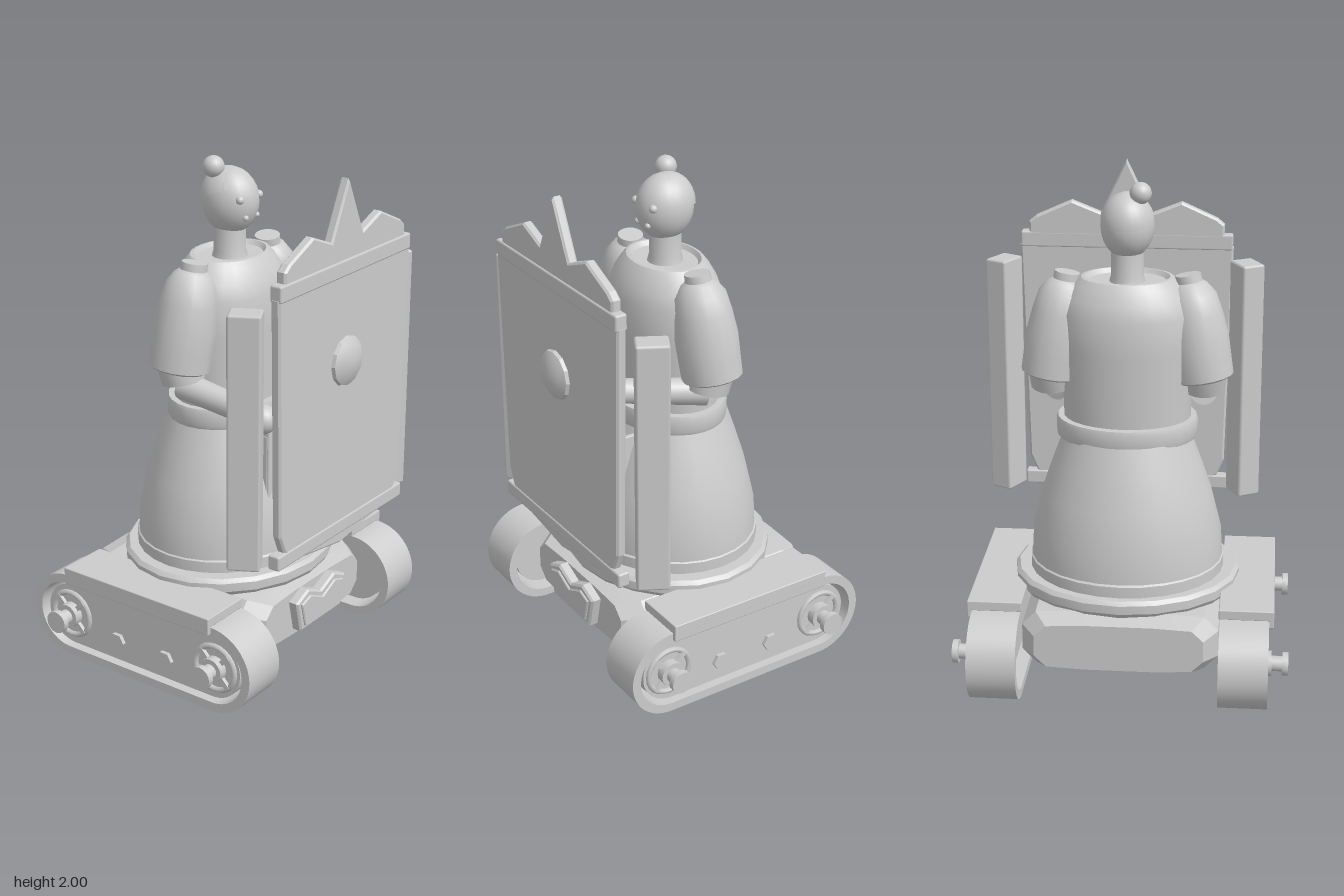
import * as THREE from 'three';
import { toCreasedNormals } from 'three/addons/utils/BufferGeometryUtils.js';
import { RoundedBoxGeometry } from 'three/addons/geometries/RoundedBoxGeometry.js';
import { ConvexGeometry } from 'three/addons/geometries/ConvexGeometry.js';

const grey = new THREE.MeshStandardMaterial({ color: 0xcccccc });
grey.name = 'plain grey';
const V = (x, y, z) => new THREE.Vector3(x, y, z);

export function createModel() {
  const model = new THREE.Group();
  model.name = 'trackedShieldBearer';

  const add = (name, geo, x = 0, y = 0, z = 0, parent = model) => {
    const mesh = new THREE.Mesh(geo, grey);
    mesh.name = name;
    mesh.position.set(x, y, z);
    parent.add(mesh);
    return mesh;
  };
  const box = (name, w, h, d, x, y, z, r = 0.008) =>
    add(name, new RoundedBoxGeometry(w, h, d, 1, r), x, y, z);
  // Profile of [radius, height] turned about y, then squashed to an ellipse
  const spin = (name, pts, sides = 24, sx = 1, sz = 1, z = 0) => {
    const geo = new THREE.LatheGeometry(pts.map(p => new THREE.Vector2(p[0], p[1])), sides);
    geo.scale(sx, 1, sz);
    return add(name, toCreasedNormals(geo, 0.5), 0, 0, z);
  };
  const shapeOf = pts => new THREE.Shape(pts.map(p => new THREE.Vector2(p[0], p[1])));
  // Flat plate with a small bevel; its back lies at z
  const plate = (name, pts, depth, z, b = 0.008) => {
    const geo = new THREE.ExtrudeGeometry(shapeOf(pts), {
      depth: depth - 2 * b, bevelEnabled: true, bevelSize: b, bevelThickness: b,
      bevelOffset: -b, bevelSegments: 1,
    });
    return add(name, geo, 0, 0, z + b);
  };
  // Turned part running from a to b, profile as [radius, fraction]
  const limb = (name, a, b, pts, sides = 16) => {
    const len = a.distanceTo(b);
    const geo = new THREE.LatheGeometry(pts.map(p => new THREE.Vector2(p[0], p[1] * len)), sides);
    const mesh = add(name, toCreasedNormals(geo, 0.6), a.x, a.y, a.z);
    mesh.quaternion.setFromUnitVectors(V(0, 1, 0), b.clone().sub(a).normalize());
  };

  // ---- Hull between the tracks ----
  const hull = [];
  for (const [z, w, h] of [[0.415, 0.32, 0.095], [0.33, 0.385, 0.12], [-0.36, 0.385, 0.12], [-0.44, 0.33, 0.095]])
    for (const s of [-1, 1]) for (const t of [-1, 1])
      hull.push(V(s * w, 0.25 + t * h * 0.45, z), V(s * w * 0.86, 0.25 + t * h * 0.92, z), V(s * w * 0.4, 0.25 + t * h, z));
  add('hull', toCreasedNormals(new ConvexGeometry(hull), 0.3));
  plate('hullEmblem', [[-0.14, 0.18], [0.14, 0.18], [0.17, 0.31], [0.09, 0.345], [0, 0.305], [-0.09, 0.345], [-0.17, 0.31]], 0.06, 0.395);
  plate('hullEmblemInset', [[-0.12, 0.2], [0.12, 0.2], [0.145, 0.3], [0.085, 0.32], [0, 0.28], [-0.085, 0.32], [-0.145, 0.3]], 0.02, 0.443, 0.004);

  // ---- Tracks ----
  const cy = 0.178;
  const stadium = (P, r, a, b) => {
    const p = new P();
    p.absarc(-a, cy, r, Math.PI / 2, Math.PI * 1.5, false);
    p.absarc(-b, cy, r, -Math.PI / 2, Math.PI / 2, false);
    p.closePath();
    return p;
  };
  const sideExtrude = (name, shape, x0, x1) => {
    const geo = new THREE.ExtrudeGeometry(shape, { depth: x1 - x0, bevelEnabled: false, curveSegments: 14 });
    geo.rotateY(Math.PI / 2);
    return add(name, toCreasedNormals(geo, 0.5), x0);
  };
  const disc = (name, r, x, w, y, z, sides = 16) => {
    const geo = new THREE.CylinderGeometry(r, r, w, sides);
    geo.rotateZ(Math.PI / 2);
    return add(name, toCreasedNormals(geo, 0.5), x, y, z);
  };
  for (const s of [-1, 1]) {
    const span = (a, b) => (s > 0 ? [a, b] : [-b, -a]);
    const belt = stadium(THREE.Shape, 0.178, 0.347, -0.372);
    belt.holes.push(stadium(THREE.Path, 0.142, 0.347, -0.372));
    sideExtrude('trackBelt', belt, ...span(0.39, 0.582));
    sideExtrude('trackSidePlate', stadium(THREE.Shape, 0.13, 0.335, -0.36), ...span(0.44, 0.56));
    box('fender', 0.215, 0.04, 0.715, s * 0.493, 0.378, -0.012, 0.004);
    box('fenderLip', 0.02, 0.07, 0.715, s * 0.59, 0.363, -0.012, 0.004);
    for (const z of [0.35, -0.37]) {
      const rim = add('wheelRim', new THREE.TorusGeometry(0.092, 0.012, 6, 24), s * 0.562, cy, z);
      rim.rotation.y = Math.PI / 2;
      for (let i = 0; i < 4; i++) {
        const a = Math.PI / 4 + i * Math.PI / 2;
        const spoke = add('wheelSpoke', new THREE.BoxGeometry(0.02, 0.06, 0.02), s * 0.565, cy + 0.065 * Math.cos(a), z + 0.065 * Math.sin(a));
        spoke.rotation.x = a;
      }
      disc('axleCollar', 0.05, s * 0.575, 0.04, cy, z);
      disc('axle', 0.03, s * 0.605, 0.09, cy, z);
      disc('axleCap', 0.046, s * 0.648, 0.024, cy, z);
    }
    for (const z of [0.11, -0.13]) disc('bolt', 0.036, s * 0.565, 0.022, 0.133, z, 6);
  }

  // ---- Skirt, belt and torso ----
  spin('basePlate', [[0, 0.36], [0.44, 0.36], [0.455, 0.38], [0.455, 0.415], [0.44, 0.43], [0, 0.43]], 20, 1, 0.89);
  spin('skirtHem', [[0.39, 0.42], [0.39, 0.475], [0.375, 0.485], [0, 0.485]], 28, 1, 0.9, -0.01);
  spin('skirt', [[0.385, 0.48], [0.378, 0.6], [0.34, 0.75], [0.295, 0.88], [0.25, 1.0]], 28, 1, 0.89, -0.01);
  spin('belt', [[0.24, 0.985], [0.275, 0.985], [0.28, 1.0], [0.28, 1.05], [0.275, 1.065], [0.22, 1.065]], 28, 1, 0.8);
  spin('torso', [[0.25, 1.05], [0.255, 1.2], [0.262, 1.35], [0.265, 1.49], [0.24, 1.55], [0.205, 1.6], [0.18, 1.625], [0.165, 1.627], [0.15, 1.61], [0, 1.605]], 28, 1, 0.76);
  box('apronPlate', 0.235, 0.37, 0.035, -0.01, 0.805, 0.265);
  for (const s of [-1, 1]) box('apronBracket', 0.02, 0.28, 0.1, -0.01 + s * 0.11, 0.82, 0.225, 0.004);

  // ---- Head ----
  spin('neck', [[0.075, 1.59], [0.063, 1.63], [0.063, 1.75]], 16);
  const ball = (name, r, x, y, z, sy = 1, sz = 1) =>
    add(name, new THREE.SphereGeometry(r, 20, 14), x, y, z).scale.set(1, sy, sz);
  ball('head', 0.104, 0, 1.825, 0.003, 1.24, 1.1);
  const hair = add('hairCap', new THREE.SphereGeometry(0.107, 20, 8, 0, Math.PI * 2, 0, 1.25), 0, 1.825, 0);
  hair.scale.set(1, 1.23, 1.09);
  hair.rotation.x = -0.35;
  ball('hairBun', 0.042, -0.053, 1.958, -0.037);
  for (const s of [-1, 1]) {
    ball('eye', 0.016, s * 0.06, 1.848, 0.092);
    ball('earring', 0.012, s * 0.035, 1.775, 0.1);
  }

  // ---- Arms ----
  const arms = [
    { s: 1, elbow: V(0.285, 1.165, 0.0), hand: V(0.135, 1.21, 0.385) },
    { s: -1, elbow: V(-0.3, 1.165, 0.0), hand: V(-0.27, 1.1, 0.355) },
  ];
  for (const { s, elbow, hand } of arms) {
    limb('sleeve', V(s * 0.3, 1.225, -0.018), V(s * 0.232, 1.635, 0.01),
      [[0, 0], [0.105, 0], [0.118, 0.02], [0.12, 0.2], [0.122, 0.4], [0.112, 0.62], [0.098, 0.8], [0.07, 0.9], [0.052, 0.93], [0.05, 1], [0, 1]]);
    limb('cuff', V(s * 0.3, 1.18, 0.005), V(s * 0.3, 1.25, -0.01), [[0, 0], [0.082, 0], [0.09, 1], [0, 1]]);
    limb('forearm', elbow, hand, [[0, 0], [0.054, 0], [0.046, 1], [0, 1]]);
    ball('hand', 0.057, hand.x, hand.y, hand.z);
  }

  // ---- Shield ----
  const cx = 0.043;
  const mirror = half => [...half, ...half.slice().reverse().filter(p => p[0] > 0).map(p => [-p[0], p[1]])]
    .map(([x, y]) => [x + cx, y]);
  plate('shieldPanel', mirror([[0, 0.515], [0.3, 0.56], [0.385, 0.62], [0.415, 0.69], [0.438, 1.62]]), 0.04, 0.472);
  plate('shieldCrest', mirror([[0.4, 1.62], [0.4, 1.715], [0.37, 1.74], [0.225, 1.805], [0.105, 1.757], [0, 1.975]]), 0.042, 0.468);
  box('shieldTopBand', 0.87, 0.065, 0.05, cx, 1.642, 0.492);
  box('shieldBottomBand', 0.865, 0.06, 0.05, cx, 0.59, 0.492);
  const boss = new THREE.LatheGeometry([[0.1, 0], [0.095, 0.018], [0.065, 0.037], [0, 0.046]].map(p => new THREE.Vector2(...p)), 12);
  boss.rotateX(Math.PI / 2);
  add('shieldBoss', toCreasedNormals(boss, 0.5), cx, 1.275, 0.508);
  for (const s of [-1, 1])
    box('shieldSidePost', 0.098, 1.0, 0.125, cx + s * 0.497, 1.08, 0.407, 0.01).rotation.y = -s * 0.5;

  // Open lathes show from both sides
  grey.side = THREE.DoubleSide;
  return model;
}
